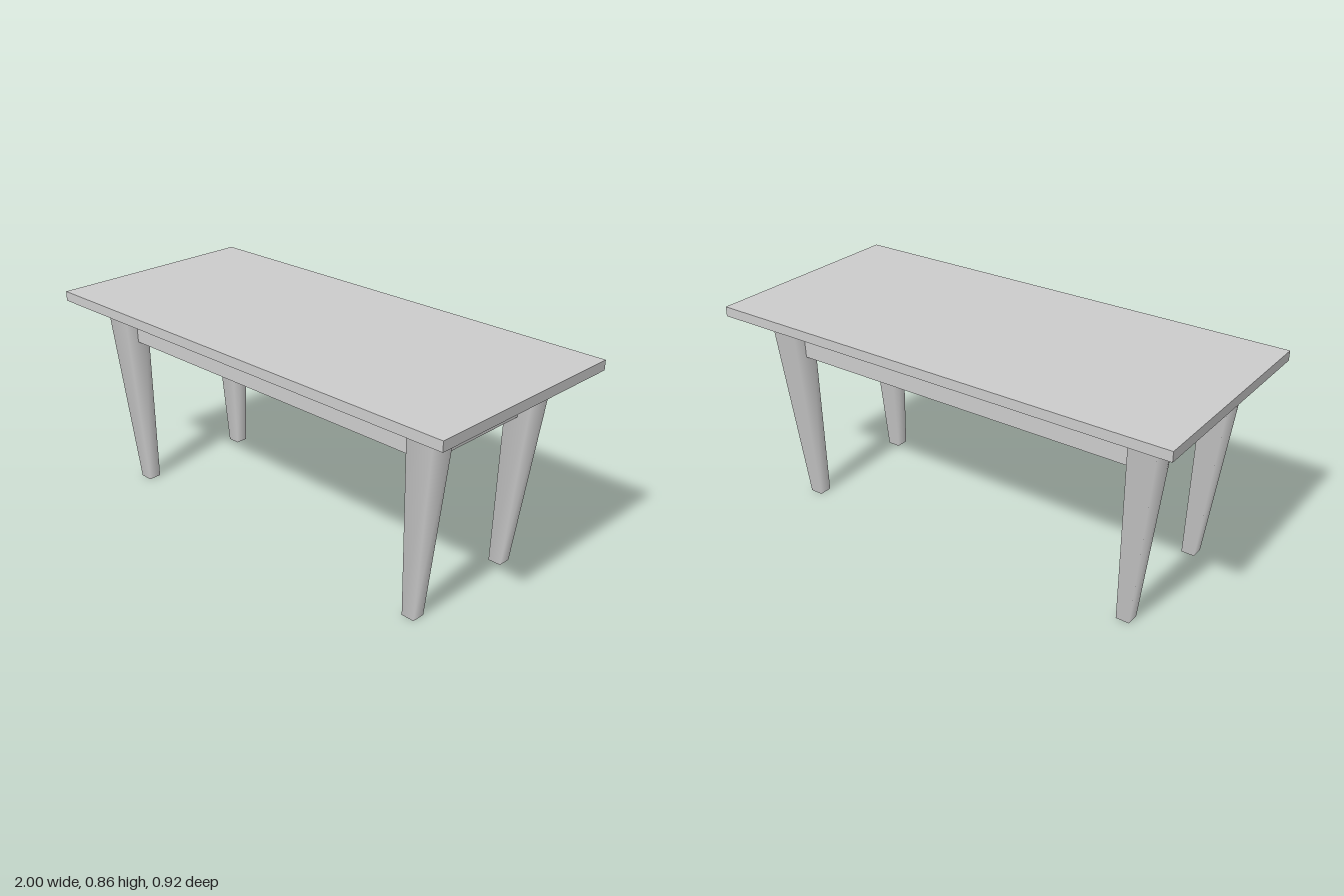
import * as THREE from 'three';

const TOP_Y = 0.82; // underside of the tabletop
const material = new THREE.MeshStandardMaterial({ color: 0xcccccc });

function board(name, w, h, d, x, y, z) {
  const mesh = new THREE.Mesh(new THREE.BoxGeometry(w, h, d), material);
  mesh.name = name;
  mesh.position.set(x, y, z);
  return mesh;
}

// Square leg with softly shaded sides; the outer faces taper in towards the foot
function leg(name, sx, sz) {
  const geometry = new THREE.CylinderGeometry(Math.SQRT1_2, Math.SQRT1_2, TOP_Y, 4, 1);
  geometry.rotateY(Math.PI / 4);
  geometry.translate(0, TOP_Y / 2, 0);
  const p = geometry.attributes.position;
  for (let i = 0; i < p.count; i++) {
    const atTop = p.getY(i) > TOP_Y / 2;
    const width = atTop ? 0.117 : 0.055;
    const cx = atTop ? 0.824 : 0.763;
    const cz = atTop ? 0.281 : 0.26;
    p.setXYZ(i, sx * cx + p.getX(i) * width, p.getY(i), sz * cz + p.getZ(i) * width);
  }
  const mesh = new THREE.Mesh(geometry, material);
  mesh.name = name;
  return mesh;
}

export function createModel() {
  const table = new THREE.Group();
  table.name = 'table';

  // Tabletop
  table.add(board('tabletop', 2, 0.04, 0.915, 0, TOP_Y + 0.02, 0));

  // Underframe, set slightly off the centre of the top
  const frame = new THREE.Group();
  frame.name = 'underframe';
  frame.position.set(-0.017, 0, -0.009);
  table.add(frame);

  for (const [sx, side] of [[1, 'Left'], [-1, 'Right']]) {
    for (const [sz, end] of [[1, 'front'], [-1, 'back']]) {
      frame.add(leg(`${end}${side}Leg`, sx, sz));
    }
  }

  // Aprons running between the legs
  const height = 0.175;
  const y = TOP_Y - height / 2;
  const thick = 0.025;
  for (const s of [1, -1]) {
    frame.add(board(s > 0 ? 'frontApron' : 'backApron', 1.58, height, thick, 0, y, s * 0.268));
    frame.add(board(s > 0 ? 'leftApron' : 'rightApron', thick, height, 0.5, s * 0.805, y, 0));
  }
  return table;
}
